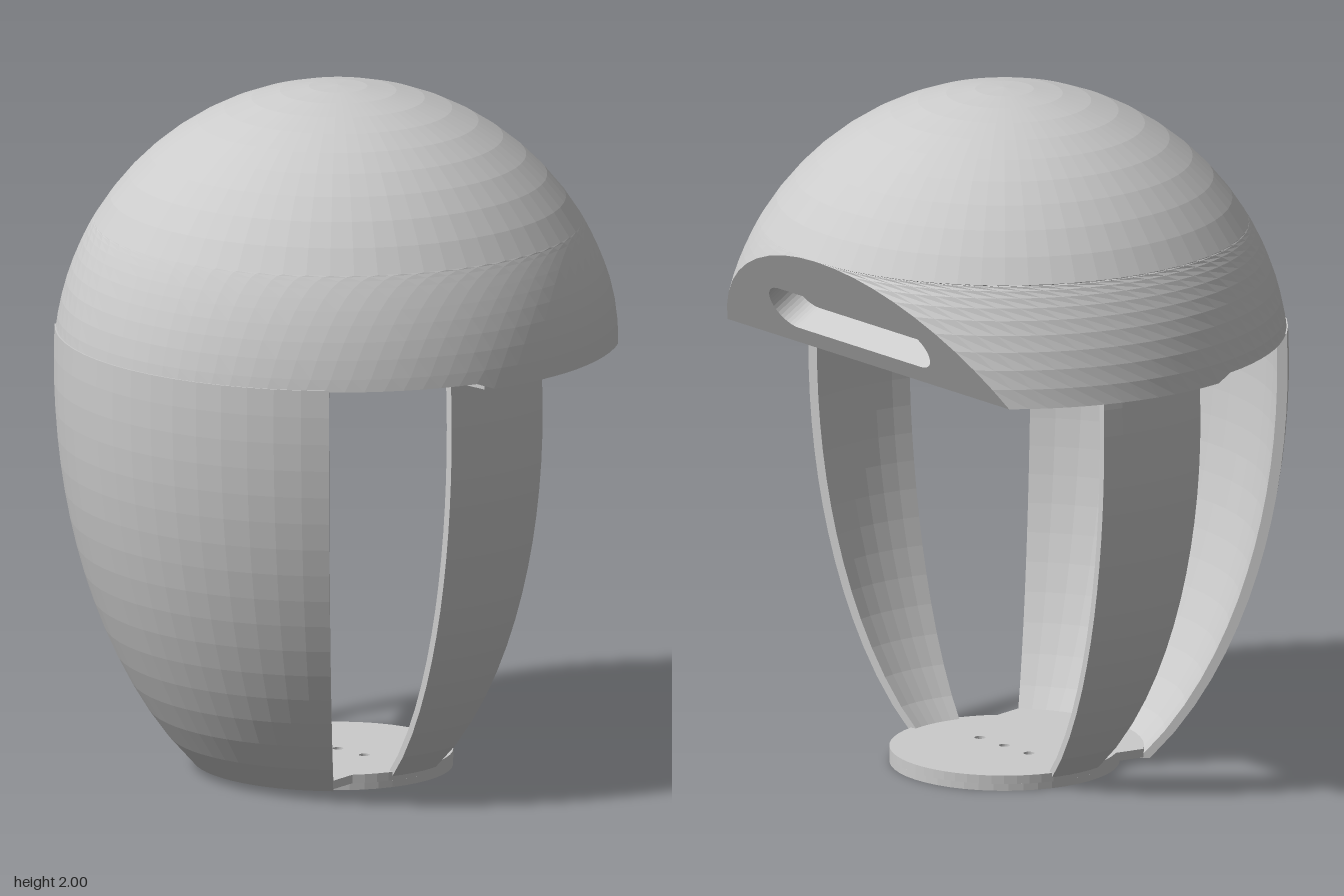
import * as THREE from 'three';

const CX = 0.055, CY = 1.185, R = 0.815;      // dome sphere
const RIM = 1.265, STEP_Y = 1.285, STEP_X = -0.11; // dome underside levels
const CUT_X = 0.56, SLOPE = Math.PI / 3;      // slanted front cut
const mat = new THREE.MeshStandardMaterial({ color: 0xcccccc, flatShading: true });

const sphereR = y => Math.sqrt(Math.max(0, R * R - (y - CY) ** 2));
const cutX = y => CUT_X + (y - RIM) / Math.tan(SLOPE);
const cutAngle = y => {
  const r = sphereR(y);
  return r < 1e-6 ? 0 : Math.acos(Math.min(1, (cutX(y) - CX) / r));
};
const polar = (r, a, y) => new THREE.Vector3(CX + r * Math.cos(a), y, r * Math.sin(a));

// Skin rows of points, bottom to top
function skin(rows, closed) {
  const n = rows[0].length, pos = [], index = [];
  rows.forEach(row => row.forEach(p => pos.push(p.x, p.y, p.z)));
  for (let i = 0; i < rows.length - 1; i++) {
    for (let j = 0; j < (closed ? n : n - 1); j++) {
      const k = (j + 1) % n, a = i * n + j, b = i * n + k;
      index.push(a, a + n, b + n, a, b + n, b);
    }
  }
  const g = new THREE.BufferGeometry();
  g.setAttribute('position', new THREE.Float32BufferAttribute(pos, 3));
  g.setIndex(index);
  g.computeVertexNormals();
  return g;
}

function add(parent, name, geometry) {
  const m = new THREE.Mesh(geometry, mat);
  m.name = name;
  parent.add(m);
  return m;
}

// Curved leg: a sector of an egg-shaped shell
function legGeometry(angle, half, segs, radius, y0, y1, thick) {
  const rows = [], count = 16;
  for (let i = 0; i <= count; i++) {
    const y = y0 + (y1 - y0) * i / count, r = radius(y), outer = [], inner = [];
    for (let j = 0; j <= segs; j++) {
      const a = angle - half + 2 * half * j / segs;
      outer.push(polar(r, a, y));
      inner.unshift(polar(r - thick, a, y));
    }
    rows.push([...outer, ...inner]);
  }
  // close both ends by folding the loop onto its middle line
  const fold = row => row.map((p, j) => p.clone().lerp(row[row.length - 1 - j], 0.5));
  return skin([fold(rows[0]), ...rows, fold(rows[count])], true);
}

function arc(r, a0, a1, n, cx = CX) {
  return Array.from({ length: n + 1 }, (_, i) => {
    const a = a0 + (a1 - a0) * i / n;
    return new THREE.Vector2(cx + r * Math.cos(a), r * Math.sin(a));
  });
}

function slotOutline(Type) {
  const s = new Type(), v = 0.139, r = 0.075, w = 0.35 - r;
  s.moveTo(-w, v - r);
  s.lineTo(w, v - r);
  s.absarc(w, v, r, -Math.PI / 2, Math.PI / 2, false);
  s.lineTo(-w, v + r);
  s.absarc(-w, v, r, Math.PI / 2, Math.PI * 1.5, false);
  return s;
}

function makeDome() {
  const dome = new THREE.Group();
  dome.name = 'dome';

  // latitudes, closer together towards the tip of the cut
  const px = CUT_X - CX, py = RIM - CY, c = Math.cos(SLOPE), s = Math.sin(SLOPE);
  const h = px * c + py * s;
  const tipY = RIM + s * (-h + Math.sqrt(h * h - px * px - py * py + R * R));
  const lat = y => Math.asin((y - CY) / R), low = lat(RIM), tip = lat(tipY);
  const ys = [];
  for (let i = 0; i <= 10; i++) ys.push(CY + R * Math.sin(low + (tip - low) * Math.sin(Math.PI * i / 20)));
  const cutYs = ys.slice();
  for (let i = 1; i <= 10; i++) ys.push(CY + R * Math.sin(tip + (Math.PI / 2 - tip) * i / 10));

  // spherical shell
  const rows = ys.map((y, i) => {
    const a0 = i <= 10 ? cutAngle(y) : 0, row = [];
    for (let j = 0; j <= 64; j++) {
      const a = a0 + (2 * Math.PI - 2 * a0) * j / 64;
      const p = polar(sphereR(y), a, y);
      row.push(i === 0 && p.x < STEP_X ? polar(sphereR(STEP_Y), a, STEP_Y) : p);
    }
    return row;
  });
  add(dome, 'domeShell', skin(rows, false));

  // slanted face with a recessed slot
  const edge = cutYs.map(y => new THREE.Vector2(sphereR(y) * Math.sin(cutAngle(y)), (y - RIM) / s));
  const left = edge.slice(0, -1).reverse().map(p => new THREE.Vector2(-p.x, p.y));
  const face = new THREE.Shape([...edge, ...left]);
  face.holes.push(slotOutline(THREE.Path));
  const place = new THREE.Matrix4().makeBasis(
    new THREE.Vector3(0, 0, -1), new THREE.Vector3(c, s, 0), new THREE.Vector3(s, -c, 0)
  ).setPosition(CUT_X, RIM, 0);
  const depth = 0.09;
  add(dome, 'slantedFace', new THREE.ExtrudeGeometry(face, { depth, bevelEnabled: false, curveSegments: 10 })
    .translate(0, 0, -depth).applyMatrix4(place));
  add(dome, 'slotFloor', new THREE.ShapeGeometry(slotOutline(THREE.Shape), 10)
    .translate(0, 0, -depth).applyMatrix4(place));

  // underside in two levels
  const a0 = cutAngle(RIM), a1 = Math.acos((STEP_X - CX) / sphereR(RIM));
  const under = (name, pts, y) => add(dome, name,
    new THREE.ShapeGeometry(new THREE.Shape(pts)).rotateX(Math.PI / 2).translate(0, y, 0));
  under('undersideFront', [...arc(sphereR(RIM), a0, a1, 16), ...arc(sphereR(RIM), -a1, -a0, 16)], RIM);
  under('undersideBack', arc(sphereR(STEP_Y), a1, 2 * Math.PI - a1, 32), STEP_Y);
  add(dome, 'undersideStep', new THREE.PlaneGeometry(1.58, STEP_Y - RIM)
    .rotateY(-Math.PI / 2).translate(STEP_X, (STEP_Y + RIM) / 2, 0));
  return dome;
}

function makeBase() {
  const base = new THREE.Group();
  base.name = 'base';
  const plate = (name, shape, y0, y1) => add(base, name,
    new THREE.ExtrudeGeometry(shape, { depth: y1 - y0, bevelEnabled: false, curveSegments: 12 })
      .rotateX(-Math.PI / 2).translate(0, y0, 0));

  // upper plate, flared at the back to meet the wide leg
  const q = Math.PI / 4;
  const top = new THREE.Shape([...arc(0.33, -2.2, 2.2, 40), ...arc(0.4, 3 * q, 5 * q, 14)]);
  for (const z of [-0.11, 0, 0.11]) {
    top.holes.push(new THREE.Path().absarc(CX, z, 0.016, 0, Math.PI * 2, true));
  }
  plate('basePlate', top, 0.02, 0.045);

  // lower rim around a round recess
  const rim = new THREE.Shape(arc(0.33, 0, Math.PI * 2, 48).slice(0, -1));
  rim.holes.push(new THREE.Path(arc(0.21, 0, Math.PI * 2, 40).slice(0, -1).reverse()));
  plate('baseRim', rim, 0, 0.02);
  return base;
}

export function createModel() {
  const model = new THREE.Group();
  model.name = 'domedStand';
  model.add(makeDome(), makeBase());

  // wide back leg and a mirrored pair of narrow side legs
  const egg = (r, cy, b) => y => r * Math.sqrt(1 - ((y - cy) / b) ** 2);
  add(model, 'backLeg', legGeometry(Math.PI, Math.PI / 4, 16, egg(0.815, 1.185, 1.36), 0.018, 1.29, 0.03));
  for (const side of [1, -1]) {
    add(model, side > 0 ? 'sideLegFront' : 'sideLegRear',
      legGeometry(side * Math.PI / 2, Math.PI / 12, 6, egg(0.69, 1.12, 1.24), 0.022, 1.29, 0.03));
  }
  return model;
}
